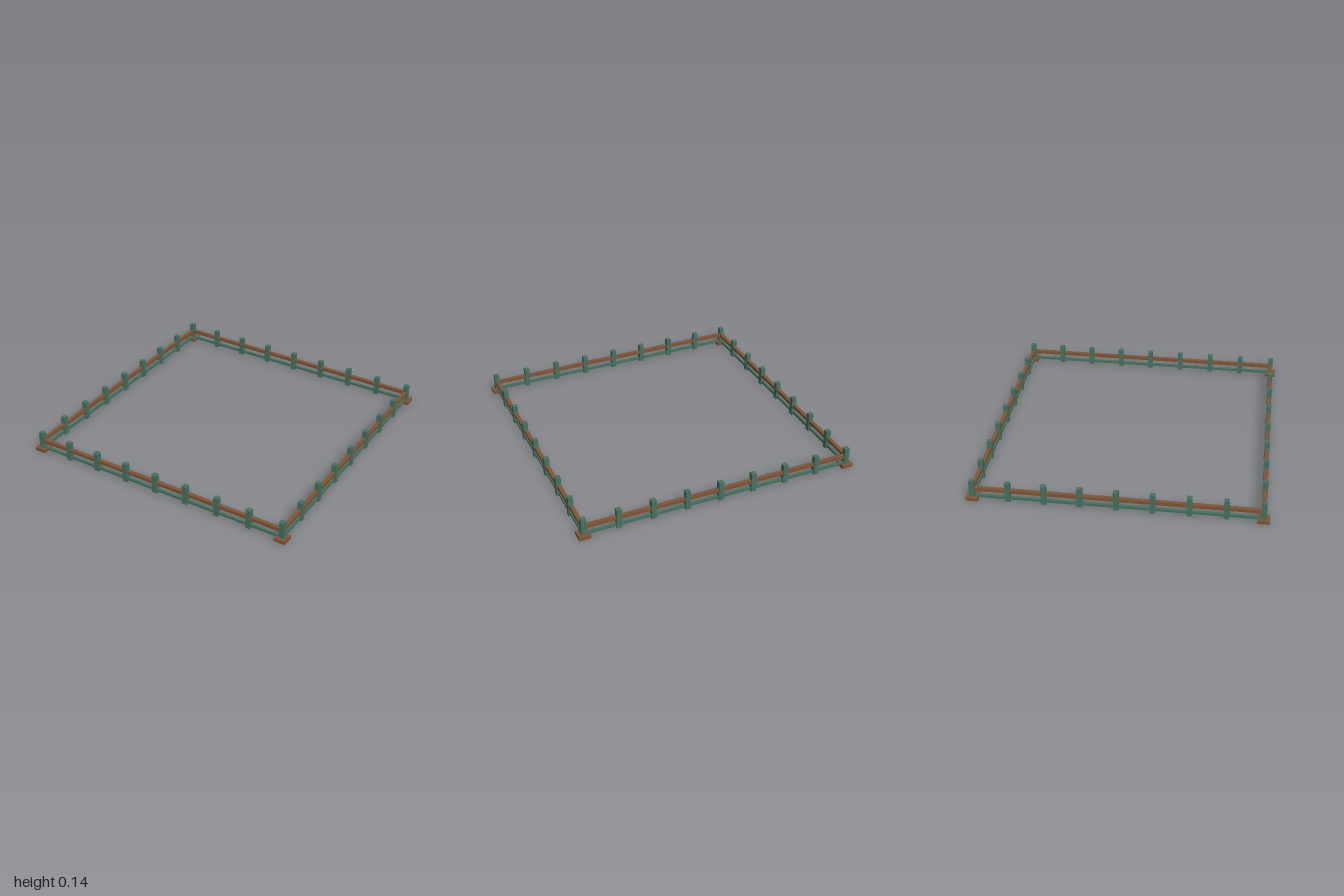
import * as THREE from 'three';

export function createModel() {
  const model = new THREE.Group();
  model.name = 'squareFence';

  const green = new THREE.MeshStandardMaterial({ color: 0x47705f });
  green.name = 'weathered green';
  const brown = new THREE.MeshStandardMaterial({ color: 0x7d5538 });
  brown.name = 'brown wood';

  const half = 0.96; // centre line of each fence side
  const spans = 8;
  const step = (2 * half) / spans;

  const box = (parent, name, size, position, material) => {
    const mesh = new THREE.Mesh(new THREE.BoxGeometry(...size), material);
    mesh.name = name;
    mesh.position.set(...position);
    parent.add(mesh);
  };

  // Four identical sides, each turned a quarter; each owns its first corner
  ['front', 'left', 'back', 'right'].forEach((label, i) => {
    const side = new THREE.Group();
    side.name = label + 'Side';
    side.rotation.y = (i * Math.PI) / 2;

    // Rails
    box(side, 'topRail', [2 * half + 0.026, 0.024, 0.026], [0, 0.077, half], brown);
    box(side, 'bottomRail', [2 * half + 0.016, 0.018, 0.018], [0, 0.023, half], green);

    // Posts
    for (let k = 0; k < spans; k++) {
      box(side, 'post', [0.035, 0.14, 0.035], [-half + k * step, 0.07, half], green);
    }

    // Corner foot plate
    box(side, 'cornerPlate', [0.08, 0.024, 0.08], [-half, 0.012, half], brown);

    model.add(side);
  });

  return model;
}
